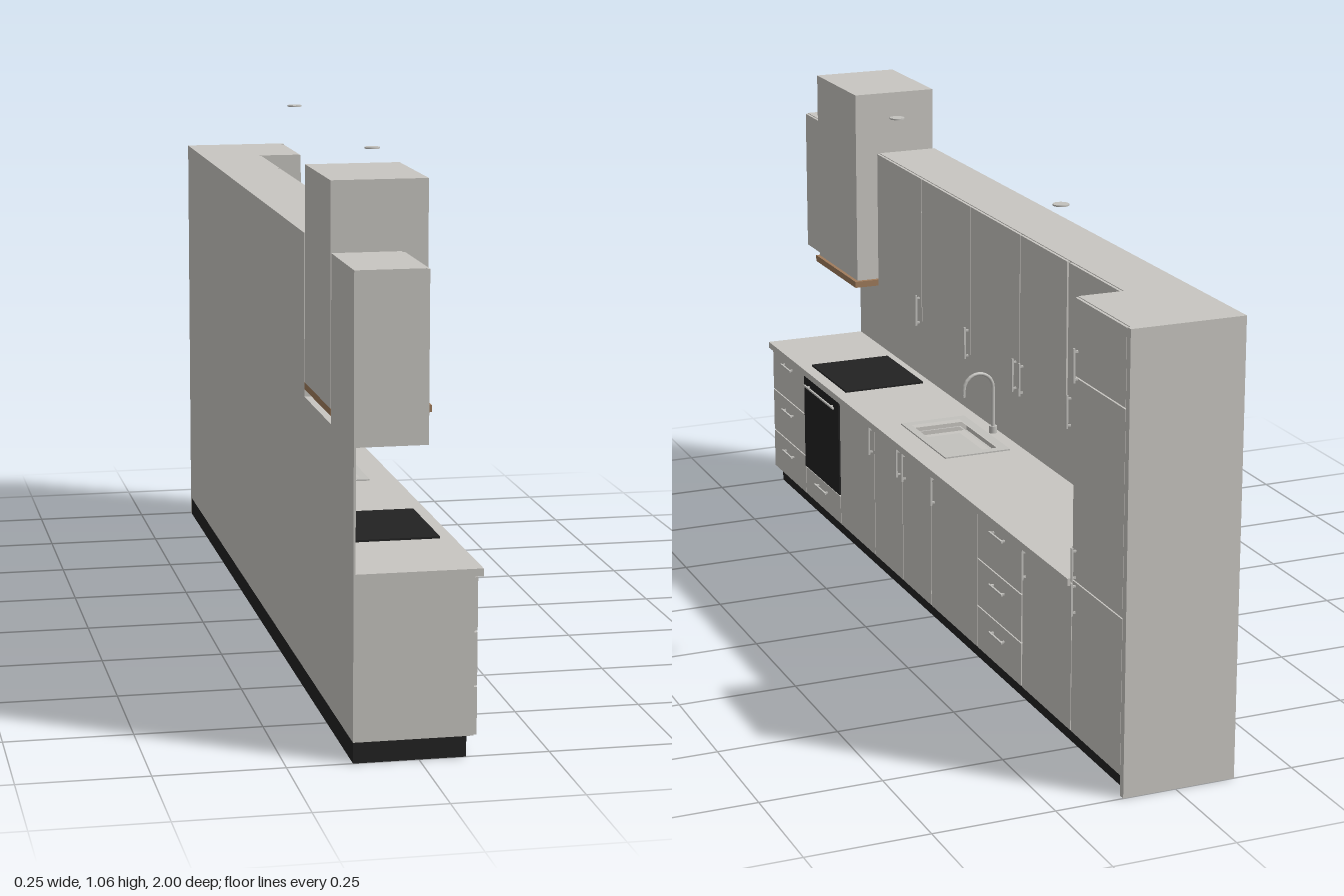
import * as THREE from 'three';

const mat = (name, color) => {
  const m = new THREE.MeshStandardMaterial({ color });
  m.name = name;
  return m;
};

export function createModel() {
  const grey = mat('cabinet grey', 0xc8c6c1);
  const black = mat('matte black', 0x222222);
  const wood = mat('hood wood', 0xa07c5c);
  const steel = mat('steel', 0xc2c1bd);

  const root = new THREE.Group();
  root.name = 'kitchenUnit';

  const add = (name, geometry, material, parent = root) => {
    const mesh = new THREE.Mesh(geometry, material);
    mesh.name = name;
    parent.add(mesh);
    return mesh;
  };
  // Box from its lower and upper bounds on each axis
  const box = (name, x0, x1, y0, y1, z0, z1, material = grey, parent = root) => {
    const mesh = add(name, new THREE.BoxGeometry(x1 - x0, y1 - y0, z1 - z0), material, parent);
    mesh.position.set((x0 + x1) / 2, (y0 + y1) / 2, (z0 + z1) / 2);
    return mesh;
  };
  const group = (name) => {
    const g = new THREE.Group();
    g.name = name;
    root.add(g);
    return g;
  };

  const BACK = -0.125, FRONT = 0.11, UPPER = 0.015, SKIN = 0.006, GAP = 0.0015;

  // Door or drawer panel with a narrow reveal around it
  const panel = (name, front, y0, y1, z0, z1, parent) =>
    box(name, front - SKIN, front, y0 + GAP, y1 - GAP, z0 + GAP, z1 - GAP, grey, parent);

  // Bar handle on two short posts, upright or level
  const handle = (front, y, z, length, upright, parent) => {
    const h = length / 2, t = 0.002;
    const dy = upright ? h : t, dz = upright ? t : h;
    box('handleBar', front + 0.006, front + 0.01, y - dy, y + dy, z - dz, z + dz, steel, parent);
    for (const s of [-0.8, 0.8]) {
      const py = upright ? y + s * h : y, pz = upright ? z : z + s * h;
      box('handlePost', front, front + 0.006, py - t, py + t, pz - t, pz + t, steel, parent);
    }
  };

  // Plinth
  box('plinth', BACK, 0.09, 0, 0.04, -0.985, 1, black);

  // Base cabinets, lower where the sink hangs
  const base = group('baseCabinets');
  const inner = FRONT - SKIN;
  box('baseCarcass', BACK, inner, 0.04, 0.345, 0.27, 1, grey, base);
  box('sinkCarcass', BACK, inner, 0.04, 0.325, -0.01, 0.27, grey, base);
  box('sinkBackRail', BACK, -0.1, 0.325, 0.345, -0.01, 0.27, grey, base);
  box('baseCarcass', BACK, inner, 0.04, 0.345, -0.76, -0.01, grey, base);

  // Drawer stacks
  for (const [z0, z1] of [[0.77, 1], [-0.52, -0.29]]) {
    const rows = [0.04, 0.135, 0.24, 0.345];
    const grips = [0.105, 0.21, 0.325];
    grips.forEach((y, i) => {
      panel('drawerFront', FRONT, rows[i], rows[i + 1], z0, z1, base);
      handle(FRONT, y, (z0 + z1) / 2, 0.068, false, base);
    });
  }
  // Base doors: start, end, handle position
  for (const [z0, z1, hz] of [[0.305, 0.53, 0.318], [0.132, 0.305, 0.148],
    [-0.035, 0.132, 0.115], [-0.29, -0.035, -0.055], [-0.76, -0.523, -0.54]]) {
    panel('baseDoor', FRONT, 0.04, 0.345, z0, z1, base);
    handle(FRONT, 0.312, hz, 0.066, true, base);
  }

  // Oven with a drawer beneath
  const oven = group('oven');
  panel('ovenDrawer', FRONT, 0.04, 0.11, 0.53, 0.77, oven);
  handle(FRONT, 0.09, 0.65, 0.075, false, oven);
  box('ovenDoor', inner, FRONT + 0.002, 0.112, 0.344, 0.533, 0.768, black, oven);
  handle(FRONT + 0.001, 0.32, 0.65, 0.2, false, oven);

  // Rectangle in plan, extruded upwards, with an optional rectangular hole
  const rectPoints = (x0, x1, z0, z1) =>
    [[x0, -z0], [x1, -z0], [x1, -z1], [x0, -z1]].map(([x, y]) => new THREE.Vector2(x, y));
  const slab = (name, outer, hole, y0, y1, material, parent) => {
    const shape = new THREE.Shape(rectPoints(...outer));
    shape.holes.push(new THREE.Path(rectPoints(...hole)));
    const geometry = new THREE.ExtrudeGeometry(shape, { depth: y1 - y0, bevelEnabled: false });
    geometry.rotateX(-Math.PI / 2);
    add(name, geometry, material, parent).position.y = y0;
  };

  // Worktop, sink and cooktop
  const basin = [-0.07, 0.045, 0.02, 0.24];
  slab('worktop', [BACK, 0.12, -0.76, 1], basin, 0.345, 0.36, grey, root);
  const sink = group('sink');
  slab('sinkRim', [-0.09, 0.0625, 0, 0.26], basin, 0.36, 0.363, steel, sink);
  slab('sinkWalls', [-0.074, 0.049, 0.016, 0.244], basin, 0.326, 0.345, steel, sink);
  box('sinkFloor', -0.072, 0.047, 0.325, 0.329, 0.018, 0.242, steel, sink);
  box('cooktop', -0.1, 0.093, 0.36, 0.364, 0.533, 0.765, black);

  // Swan-neck tap
  const tap = group('tap');
  add('tapBase', new THREE.CylinderGeometry(0.009, 0.009, 0.016, 20), steel, tap).position.set(-0.105, 0.368, 0.13);
  const neck = new THREE.CurvePath();
  const v = (x, y) => new THREE.Vector3(x, y, 0.13);
  const points = [v(-0.105, 0.37), v(-0.105, 0.42)];
  for (let i = 0; i <= 10; i++) {
    const a = Math.PI * (1 - i / 10);
    points.push(v(-0.07 + 0.035 * Math.cos(a), 0.465 + 0.035 * Math.sin(a)));
  }
  points.push(v(-0.035, 0.452));
  for (let i = 1; i < points.length; i++) neck.add(new THREE.LineCurve3(points[i - 1], points[i]));
  add('tapNeck', new THREE.TubeGeometry(neck, 60, 0.004, 10), steel, tap);
  const spout = add('tapSpout', new THREE.CylinderGeometry(0.0042, 0.0042, 0.006, 12), steel, tap);
  spout.position.set(-0.035, 0.453, 0.13);

  // Backsplash
  box('backsplash', BACK, -0.121, 0.36, 0.597, -0.76, 1);

  // Wall cabinets either side of the hood
  const wall = group('wallCabinets');
  for (const [z0, z1] of [[0.79, 1], [-0.76, 0.52]]) {
    box('wallCarcass', BACK, UPPER - SKIN, 0.597, 0.922, z0, z1, grey, wall);
  }
  for (const [z0, z1, hz] of [[0.79, 1, 0.808], [0.25, 0.52, 0.265], [-0.03, 0.25, -0.015],
    [-0.288, -0.03, -0.27], [-0.518, -0.288, -0.305], [-0.76, -0.523, -0.54]]) {
    panel('wallDoor', UPPER, 0.595, 0.922, z0, z1, wall);
    handle(UPPER, 0.62, hz, 0.07, true, wall);
  }

  // Extractor hood with wooden base board
  box('hoodChimney', BACK, 0.062, 0.626, 1.057, 0.53, 0.782);
  box('hoodBoard', BACK, 0.07, 0.612, 0.626, 0.521, 0.786, wood);

  // Tall cabinet with an end panel down to the floor
  const tall = group('tallCabinet');
  box('tallCarcass', BACK, inner, 0.04, 0.922, -0.985, -0.76, grey, tall);
  box('endPanel', BACK, FRONT, 0, 0.922, -1, -0.985, grey, tall);
  const levels = [0.04, 0.358, 0.767, 0.922];
  [0.322, 0.394, 0.792].forEach((y, i) => {
    panel('tallDoor', FRONT, levels[i], levels[i + 1], -0.985, -0.76, tall);
    handle(FRONT, y, -0.776, 0.068, true, tall);
  });

  // Ceiling spotlights
  for (const z of [-0.59, 0.27]) {
    add('spotlight', new THREE.CylinderGeometry(0.016, 0.016, 0.003, 24), steel).position.set(0.063, 1.056, z);
  }

  return root;
}
